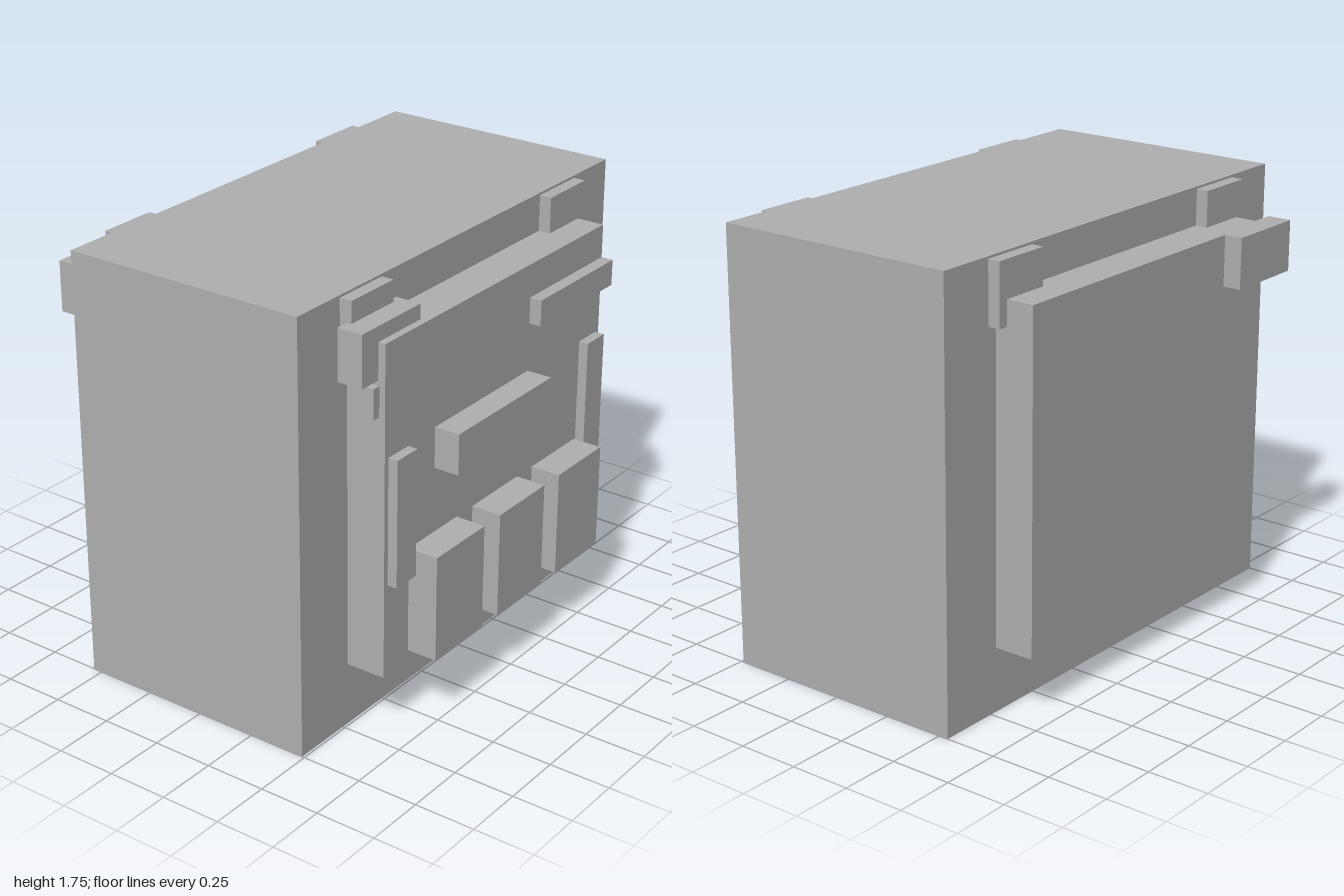
import * as THREE from 'three';

export function createModel() {
  const model = new THREE.Group();
  const grey = new THREE.MeshStandardMaterial({ color: 0xb0b0b0 });
  grey.name = 'grey';

  // Box given by its extents along each axis
  const block = (name, [x0, x1], [y0, y1], [z0, z1]) => {
    const mesh = new THREE.Mesh(new THREE.BoxGeometry(x1 - x0, y1 - y0, z1 - z0), grey);
    mesh.position.set((x0 + x1) / 2, (y0 + y1) / 2, (z0 + z1) / 2);
    mesh.name = name;
    model.add(mesh);
  };

  // Main body with a raised panel on the front and on the back
  block('body', [-1, 1], [0, 1.755], [-0.54, 0.49]);
  block('frontPanel', [-0.72, 0.72], [0.26, 1.6], [0.48, 0.655]);
  block('backPanel', [-0.72, 0.72], [0.26, 1.6], [-0.705, -0.53]);

  // Clips near the top corners, front and back
  for (const side of [-1, 1]) {
    const x = side * 0.638;
    block('frontClip', [x - 0.123, x + 0.123], [1.5, 1.745], [0.48, 0.54]);
    block('backClip', [x - 0.123, x + 0.123], [1.5, 1.745], [-0.59, -0.53]);
    // Upright strips along the edges of the front panel
    const s = side * 0.638;
    block('sideStrip', [s - 0.06, s + 0.06], [0.64, 1.155], [0.645, 0.695]);
  }

  // Row of three pouches
  for (const x of [-0.413, 0, 0.413]) {
    block('pouch', [x - 0.154, x + 0.154], [0.305, 0.735], [0.645, 0.78]);
  }

  // Bars on the front panel
  block('centreBar', [-0.41, 0.205], [1.0, 1.165], [0.645, 0.76]);
  block('upperBar', [0.205, 0.72], [1.36, 1.465], [0.645, 0.705]);

  // Tabs overlapping the panel corners
  block('frontTab', [-0.815, -0.47], [1.455, 1.66], [0.52, 0.625]);
  block('backTab', [-0.815, -0.47], [1.395, 1.6], [-0.78, -0.68]);
  block('smallTab', [-0.755, -0.6], [1.315, 1.435], [0.53, 0.63]);

  return model;
}
